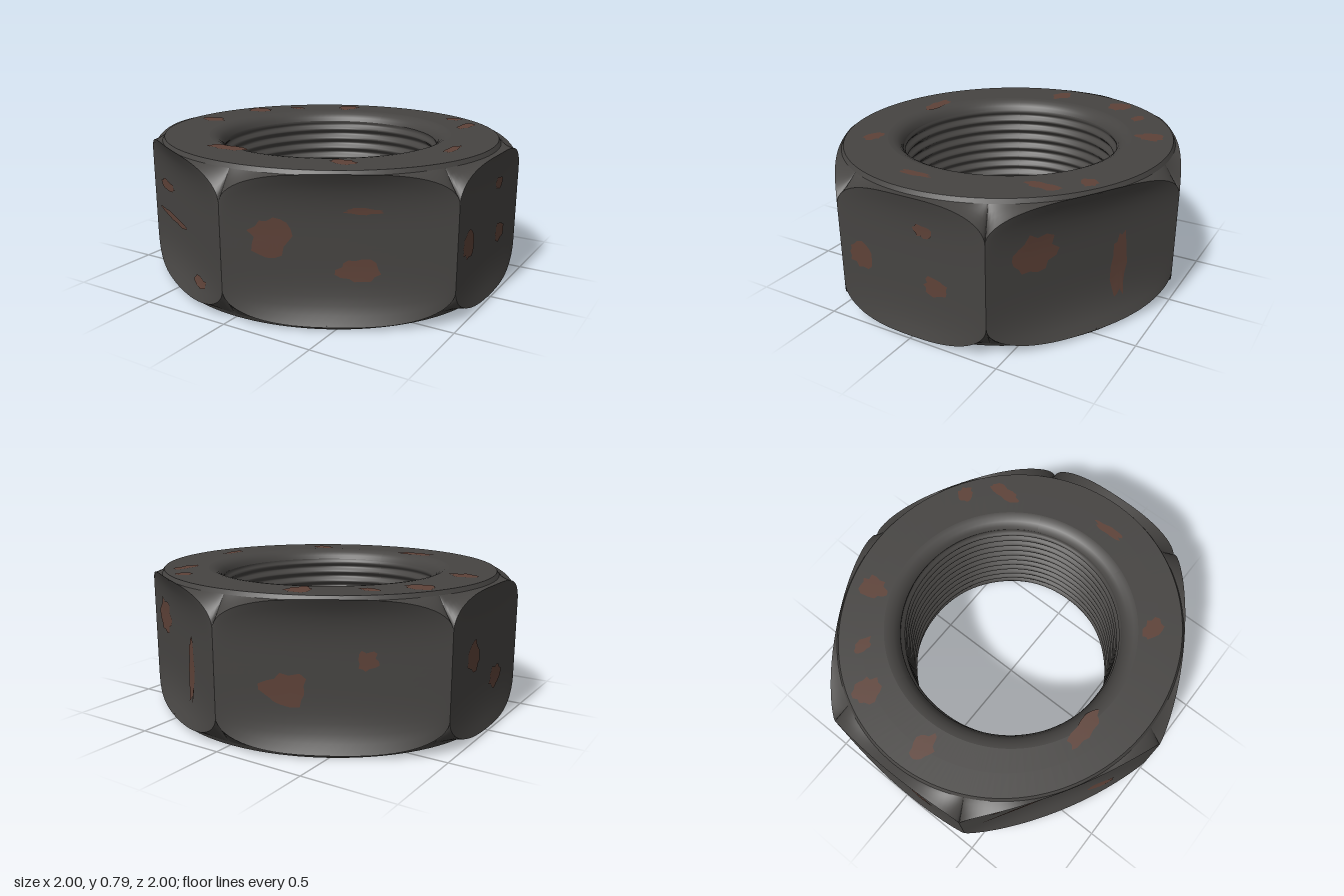
import * as THREE from 'three';
import { mergeVertices } from 'three/addons/utils/BufferGeometryUtils.js';

const TOP = 0.79, MID = TOP / 2;      // overall height and mid-plane
const STEPS = 32;                     // columns per hexagon side
const CORNERS = [[0.97, 0.43], [0.97, -0.43], [0, -1], [-0.97, -0.43], [-0.97, 0.43], [0, 1]];
const steel = new THREE.MeshStandardMaterial({ color: 0x464442 });
const rust = new THREE.MeshStandardMaterial({ color: 0x5e4238 });

// Grid surface from fn(i, j) -> Vector3; mirrored copies are flipped about the mid-plane
function surface(nu, nv, fn, mirror = false) {
  const pos = [], index = [];
  for (let j = 0; j <= nv; j++) {
    for (let i = 0; i <= nu; i++) {
      const p = fn(i, j);
      pos.push(p.x, mirror ? TOP - p.y : p.y, p.z);
    }
  }
  for (let j = 0; j < nv; j++) {
    for (let i = 0; i < nu; i++) {
      const a = j * (nu + 1) + i, b = a + 1, c = b + nu + 1, d = a + nu + 1;
      if (mirror) index.push(a, c, b, a, d, c);
      else index.push(a, b, c, a, c, d);
    }
  }
  let g = new THREE.BufferGeometry();
  g.setAttribute('position', new THREE.Float32BufferAttribute(pos, 3));
  g.setIndex(index);
  g = mergeVertices(g, 1e-5);
  g.computeVertexNormals();
  return g;
}

// Point on a side panel: u runs along the side, v up it, both from -1 to 1
function panelPoint(side, u, v, lift = 0) {
  const [ax, az] = CORNERS[side], [bx, bz] = CORNERS[(side + 1) % 6];
  const n = new THREE.Vector2(az - bz, bx - ax).normalize();
  const s = (u + 1) / 2;
  const half = 0.22 + 0.16 * Math.sqrt(Math.max(0, 1 - Math.abs(u) ** 3));
  // the upper and lower lips flare outwards
  const out = (side % 3 === 0 ? 0.03 : 0.065) * (1 - u * u) * v ** 4 + lift;
  return new THREE.Vector3(ax + (bx - ax) * s + n.x * out, MID + v * half, az + (bz - az) * s + n.y * out);
}

const spread = k => Math.sin((k / STEPS - 0.5) * Math.PI);   // finer towards the corners

// Panel edge and direction for column i of the full loop
function column(i) {
  const side = Math.floor(i / STEPS) % 6;
  const edge = panelPoint(side, spread(i % STEPS), 1);
  const len = Math.hypot(edge.x, edge.z);
  const dx = edge.x / len, dz = edge.z / len;
  const rim = 1 / Math.hypot(dx / 0.945, dz / 0.9);   // slightly oval edge of the flat face
  return { edge, dx, dz, rim };
}
const COLS = Array.from({ length: STEPS * 6 + 1 }, (_, i) => column(i % (STEPS * 6)));
const polar = (c, r, y) => new THREE.Vector3(c.dx * r, y, c.dz * r);

// Small noisy outline mapped through a surface function
function patch(seed, ru, rv, map) {
  const n = 18;
  const radius = Array.from({ length: n }, (_, k) => {
    const s = Math.sin(seed * 12.9 + k * 78.2) * 43758.5;
    return 0.65 + 0.4 * (s - Math.floor(s));
  });
  return (i, j) => {
    const a = (i % n) / n * Math.PI * 2, t = (1 - j / 3) * radius[i % n];
    return map(ru * t * Math.cos(a), rv * t * Math.sin(a));
  };
}

export function createModel() {
  const group = new THREE.Group();
  group.name = 'hexNut';
  const add = (name, geometry, material = steel) => {
    const mesh = new THREE.Mesh(geometry, material);
    mesh.name = name;
    group.add(mesh);
  };
  const n = STEPS * 6;

  // Six wrench faces with rounded outlines
  for (let side = 0; side < 6; side++) {
    add(`sidePanel${side + 1}`, surface(STEPS, 16, (i, j) => panelPoint(side, spread(i), j / 8 - 1)));
  }

  // Chamfer, flat face and rounded hole edge, above and below
  const rimProfile = [[0.68, TOP], [0.655, 0.787], [0.63, 0.775], [0.61, 0.757], [0.6, 0.735]];
  for (const mirror of [false, true]) {
    const end = mirror ? 'bottom' : 'top';
    add(`${end}Chamfer`, surface(n, 4, (i, j) => {
      const c = COLS[i];
      return c.edge.clone().lerp(polar(c, c.rim + 0.012, 0.768), j / 4);
    }, mirror));
    add(`${end}Step`, surface(n, 1, (i, j) =>
      polar(COLS[i], COLS[i].rim + 0.012 * (1 - j), j ? TOP : 0.768), mirror));
    add(`${end}Face`, surface(n, 2, (i, j) =>
      polar(COLS[i], THREE.MathUtils.lerp(COLS[i].rim, 0.68, j / 2), TOP), mirror));
    add(`${end}HoleEdge`, surface(n, rimProfile.length - 1, (i, j) =>
      polar(COLS[i], ...rimProfile[j]), mirror));
  }

  // Helical thread, fading out at both ends of the hole
  const turns = 11, rows = turns * 8, y0 = 0.735, y1 = TOP - y0;
  add('thread', surface(n, rows, (i, j) => {
    const c = COLS[i], t = j / rows;
    const phase = t * turns + Math.atan2(c.dz, c.dx) / (2 * Math.PI) + 1;
    const wave = Math.abs(2 * (phase % 1) - 1);
    const fade = Math.min(1, 20 * t, 20 * (1 - t));
    return polar(c, 0.6 + fade * (0.03 * wave - 0.02), THREE.MathUtils.lerp(y0, y1, t));
  }));

  // Rust on the sides: side, u, v, half width, half height
  const sideRust = [
    [5, -0.58, 0.17, 0.2, 0.3], [5, 0.17, -0.28, 0.22, 0.18], [5, 0.2, 0.5, 0.18, 0.05],
    [4, -0.5, 0.28, 0.27, 0.1], [4, -0.3, -0.17, 0.5, 0.06], [4, 0.5, -0.75, 0.2, 0.08],
    [0, -0.7, -0.05, 0.2, 0.22], [0, 0.35, -0.2, 0.18, 0.16], [0, 0.2, 0.55, 0.14, 0.1],
    [1, -0.55, 0.3, 0.25, 0.3], [1, 0.35, -0.2, 0.1, 0.55],
    [2, -0.4, -0.2, 0.25, 0.25], [2, 0.3, 0.2, 0.1, 0.15],
    [3, -0.4, 0.1, 0.2, 0.25], [3, 0.3, -0.35, 0.22, 0.18],
  ];
  sideRust.forEach(([side, u, v, ru, rv], k) => add('sideRust', surface(18, 3,
    patch(k + 1, ru, rv, (p, q) => panelPoint(side, u + p, v + q, 0.004))), rust));

  // Rust on the flat faces: x, z, half width, half depth
  const faceRust = [
    [-0.3, -0.72, 0.07, 0.09], [0.46, -0.7, 0.06, 0.05], [0.61, -0.53, 0.04, 0.1],
    [-0.76, -0.36, 0.09, 0.08], [-0.8, 0.07, 0.09, 0.06], [-0.22, 0.65, 0.14, 0.05],
    [0.45, 0.61, 0.09, 0.05], [0.78, 0.08, 0.03, 0.1], [-0.58, -0.54, 0.06, 0.04],
  ];
  for (const mirror of [false, true]) {
    faceRust.forEach(([x, z, rx, rz], k) => add('faceRust', surface(18, 3,
      patch(k + 30, rx, rz, (p, q) => new THREE.Vector3(x + p, TOP + 0.002, z - q)), mirror), rust));
  }
  return group;
}
